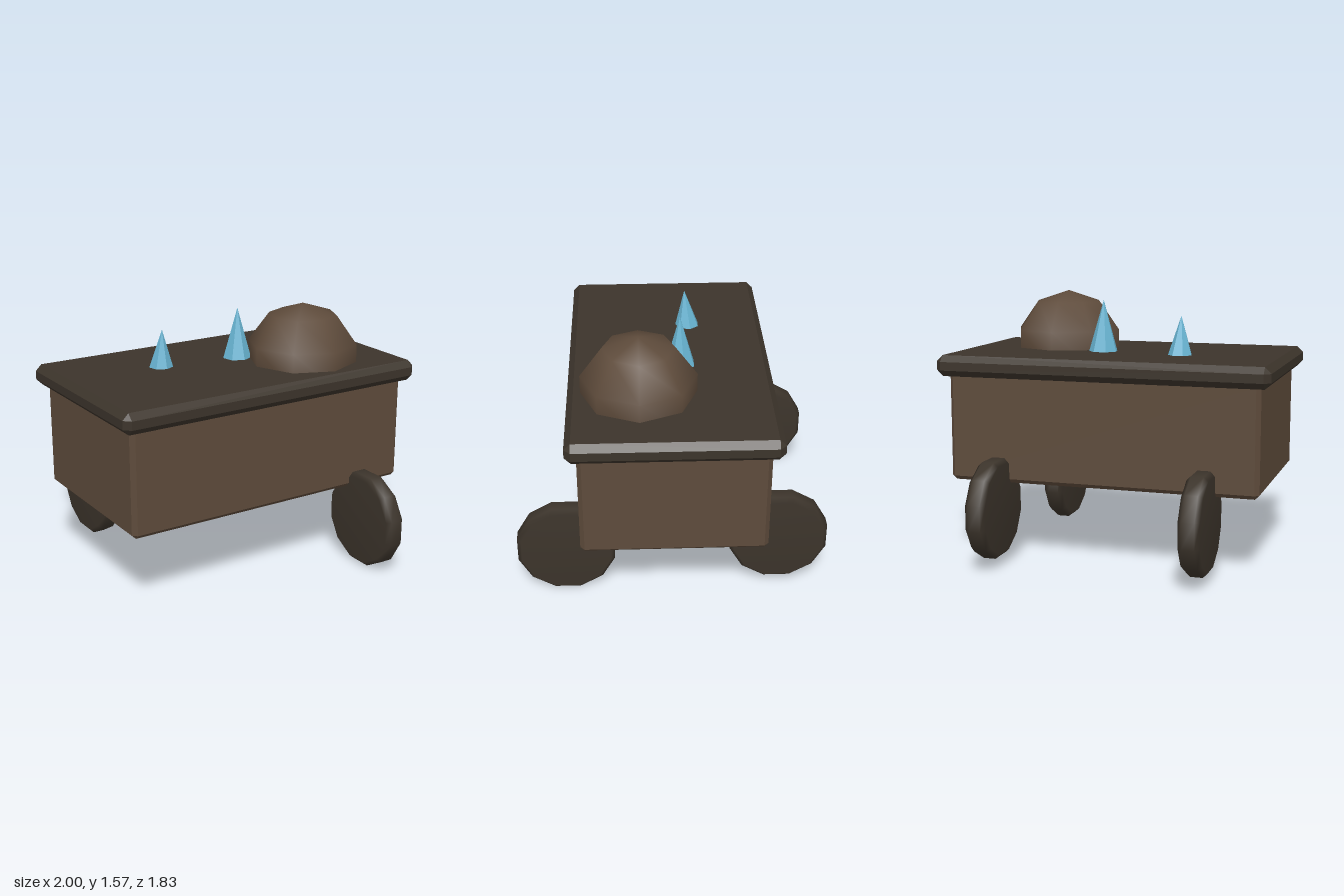
import * as THREE from 'three';
import { ConvexGeometry } from 'three/addons/geometries/ConvexGeometry.js';

const wood = new THREE.MeshStandardMaterial({ color: 0x5e4b3b });
wood.name = 'brown wood';
const darkWood = new THREE.MeshStandardMaterial({ color: 0x3c342b });
darkWood.name = 'dark wood';
const crystal = new THREE.MeshStandardMaterial({ color: 0x68b4d2 });
crystal.name = 'blue crystal';

// Box with all edges chamfered by b
function chamferBox(w, h, d, b) {
  const pts = [];
  for (const x of [-1, 1]) for (const y of [-1, 1]) for (const z of [-1, 1]) {
    for (let k = 0; k < 3; k++) {
      pts.push(new THREE.Vector3(
        x * (w / 2 - (k === 0 ? 0 : b)),
        y * (h / 2 - (k === 1 ? 0 : b)),
        z * (d / 2 - (k === 2 ? 0 : b))));
    }
  }
  return new ConvexGeometry(pts);
}

// Twelve-sided wheel with chamfered rim, axle along x
function wheelGeometry(r, w, b) {
  const profile = [[0, -w / 2], [r - b, -w / 2], [r, -w / 2 + b], [r, w / 2 - b], [r - b, w / 2], [0, w / 2]]
    .map(([x, y]) => new THREE.Vector2(x, y));
  return new THREE.LatheGeometry(profile, 12, Math.PI / 12).rotateZ(Math.PI / 2);
}

// Faceted spike whose tip leans by lean along z
function spikeGeometry(r, h, lean) {
  const g = new THREE.ConeGeometry(r, h, 7, 1).translate(0, h / 2, 0).toNonIndexed();
  const p = g.attributes.position;
  for (let i = 0; i < p.count; i++) p.setZ(i, p.getZ(i) + lean * p.getY(i) / h);
  g.computeVertexNormals();
  return g;
}

export function createModel() {
  const group = new THREE.Group();
  const add = (name, geometry, material, x, y, z) => {
    const mesh = new THREE.Mesh(geometry, material);
    mesh.name = name;
    mesh.position.set(x, y, z);
    group.add(mesh);
  };

  // Cart body and overhanging top
  add('body', chamferBox(1.875, 0.66, 1.065, 0.025), wood, 0, 0.8, 0);
  add('topSlab', chamferBox(2, 0.125, 1.19, 0.037), darkWood, 0, 1.1625, 0);

  // Three wheels, the front right one is missing
  const wheel = wheelGeometry(0.297, 0.124, 0.025);
  add('frontLeftWheel', wheel, darkWood, 0.622, 0.287, 0.63);
  add('backLeftWheel', wheel, darkWood, 0.622, 0.338, -0.625);
  add('backRightWheel', wheel, darkWood, -0.627, 0.338, -0.625);

  // Mound sunk halfway into the top
  add('mound', new THREE.SphereGeometry(0.35, 8, 5), wood, 0.435, 1.225, 0.185);

  // Crystal spikes
  add('smallSpike', spikeGeometry(0.075, 0.235, 0.02), crystal, -0.377, 1.22, -0.13);
  add('largeSpike', spikeGeometry(0.09, 0.315, 0.005), crystal, 0.122, 1.22, -0.065);

  return group;
}
